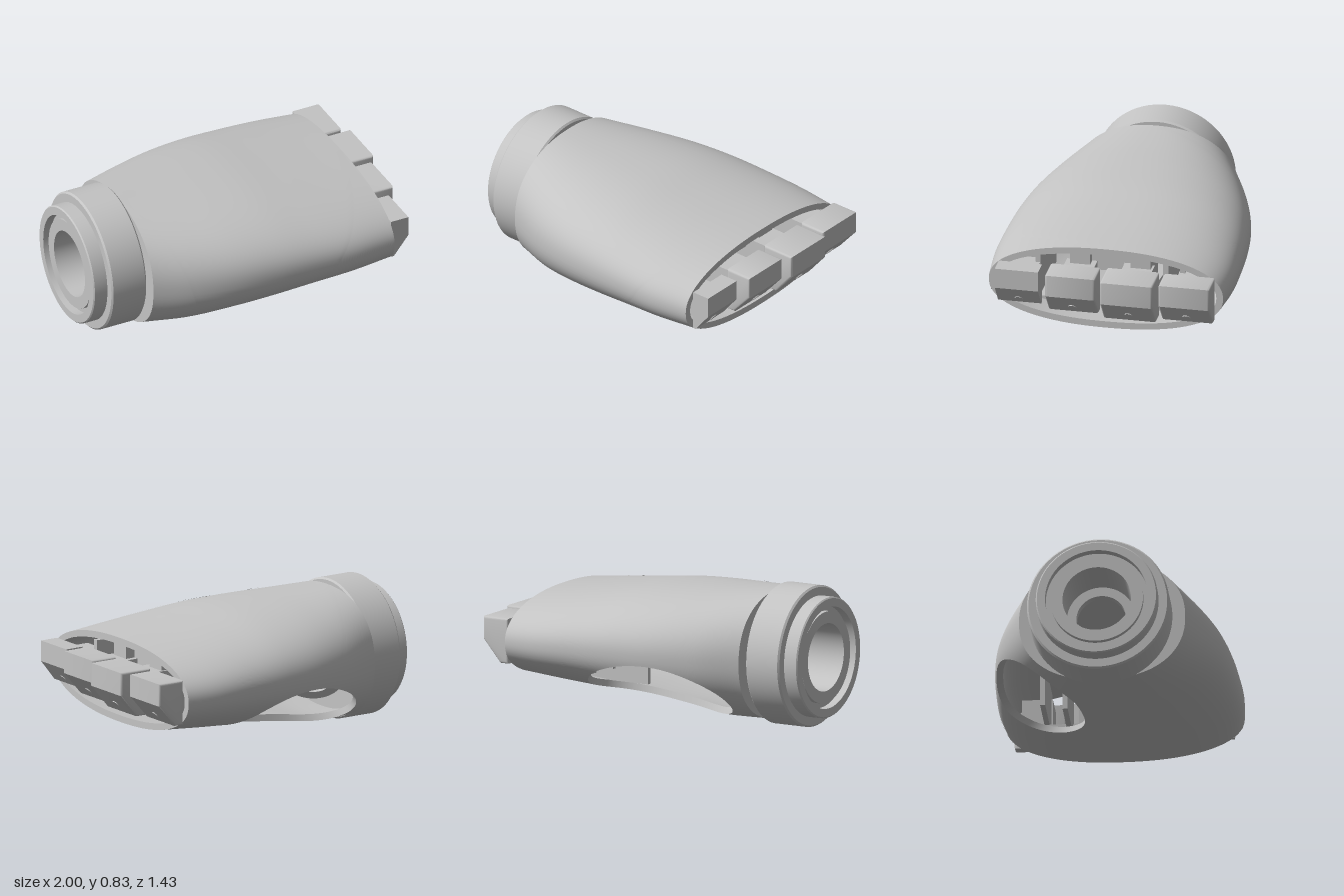
import * as THREE from 'three';
import { toCreasedNormals } from 'three/addons/utils/BufferGeometryUtils.js';

const X0 = -0.68, X1 = 0.783, WALL = 0.04, ROUND = 2.25;
// shell half width, top and bottom heights at even steps from wrist to knuckles
const WIDTH = [0.485, 0.588, 0.657, 0.693, 0.71, 0.715, 0.695];
const TOP = [0.8, 0.79, 0.782, 0.768, 0.74, 0.712, 0.688];
const BOTTOM = [0.036, 0.044, 0.078, 0.109, 0.141, 0.164, 0.185];

// smooth interpolation through evenly spaced samples
function sample(list, x) {
  const n = list.length - 1;
  const f = THREE.MathUtils.clamp((x - X0) / (X1 - X0), 0, 1) * n;
  const i = Math.min(Math.floor(f), n - 1), s = f - i;
  const b = list[i], c = list[i + 1];
  const a = i > 0 ? list[i - 1] : 2 * b - c;
  const d = i < n - 1 ? list[i + 2] : 2 * c - b;
  return b + 0.5 * s * (c - a + s * (2 * a - 5 * b + 4 * c - d + s * (3 * (b - c) + d - a)));
}

const midY = (x) => (sample(TOP, x) + sample(BOTTOM, x)) / 2;
const halfH = (x) => (sample(TOP, x) - sample(BOTTOM, x)) / 2;
const power = (v, p) => Math.sign(v) * Math.abs(v) ** p;

// point on the superelliptic shell: t = 0 is underneath, t = +-PI is on top
function shellPoint(x, t, offset = 0) {
  return new THREE.Vector3(x,
    midY(x) - (halfH(x) + offset) * power(Math.cos(t), 2 / ROUND),
    (sample(WIDTH, x) + offset) * power(Math.sin(t), 2 / ROUND));
}

// surface through rows of points
function skin(rows) {
  const pos = [], index = [], n = rows[0].length;
  rows.forEach((row) => row.forEach((p) => pos.push(p.x, p.y, p.z)));
  for (let k = 0; k < rows.length - 1; k++) {
    for (let i = 0; i < n - 1; i++) {
      const a = k * n + i, b = a + n;
      index.push(a, b, b + 1, a, b + 1, a + 1);
    }
  }
  const g = new THREE.BufferGeometry();
  g.setAttribute('position', new THREE.Float32BufferAttribute(pos, 3));
  g.setIndex(index);
  return toCreasedNormals(g, 0.6);
}

export function createModel() {
  const model = new THREE.Group();
  const body = new THREE.MeshStandardMaterial({ color: 0xc4c4c4, side: THREE.DoubleSide });
  body.name = 'body grey';
  const add = (name, geometry, parent = model) => {
    const mesh = new THREE.Mesh(geometry, body);
    mesh.name = name;
    parent.add(mesh);
    return mesh;
  };
  const box = (name, x0, x1, y0, y1, z0, z1) =>
    add(name, new THREE.BoxGeometry(x1 - x0, y1 - y0, z1 - z0))
      .position.set((x0 + x1) / 2, (y0 + y1) / 2, (z0 + z1) / 2);

  // unrolled shell outline, walked around its four sides
  const corners = [[X1, -Math.PI], [X1, Math.PI], [X0, Math.PI], [X0, -Math.PI]];
  const outline = [];
  corners.forEach(([x, t], c) => {
    const [nx, nt] = corners[(c + 1) % 4], steps = c % 2 ? 32 : 112;
    for (let i = 0; i < steps; i++) {
      outline.push([x + (nx - x) * i / steps, t + (nt - t) * i / steps]);
    }
  });
  outline.push(corners[0]);
  // thumb opening: a teardrop from the underside up to the seam at the back
  const opening = outline.map(([x, t]) => {
    const a = Math.atan2((t + 0.85) / 0.57, (x + 0.15) / 0.4);
    const r = 1.07 + 0.3 * Math.max(0, Math.cos(a - 0.72)) ** 6;
    return [-0.15 + 0.4 * r * Math.cos(a), -0.85 + 0.57 * r * Math.sin(a)];
  });
  const layer = (offset) => Array.from({ length: 49 }, (_, k) => outline.map(([x, t], i) => {
    const [hx, ht] = opening[i], s = k / 48;
    return shellPoint(hx + (x - hx) * s, ht + (t - ht) * s, offset);
  }));
  const outer = layer(0), inner = layer(-WALL);
  add('palmShell', skin(outer));
  add('palmLining', skin([...inner].reverse()));
  add('thumbOpeningEdge', skin([inner[0], outer[0]]));
  add('palmShellRims', skin([outer[48], inner[48]]));

  // seam between upper and lower shell halves, interrupted by the thumb opening
  for (const [side, from, to] of [[1, X0, X1], [-1, X0, -0.45], [-1, 0.17, X1]]) {
    const line = (y) => Array.from({ length: 50 }, (_, i) => {
      const x = from + (to - from) * i / 49;
      return shellPoint(x, side * Math.acos(power((midY(x) - y) / halfH(x), ROUND / 2)), 0.003);
    });
    add('shellSeam', skin([line(0.367), line(0.371)]));
  }

  // rounded outline of the back-of-hand panel
  const panelLoop = (inset) => {
    const a = -0.385 + inset, b = 0.53 - inset, c = -0.345 + inset, d = 0.455 - inset, r = 0.11 - inset;
    const s = new THREE.Shape();
    s.moveTo(a + r, c);
    s.lineTo(b - r, c);
    s.absarc(b - r, c + r, r, -Math.PI / 2, 0);
    s.lineTo(b, d - r);
    s.absarc(b - r, d - r, r, 0, Math.PI / 2);
    s.lineTo(a + r, d);
    s.absarc(a + r, d - r, r, Math.PI / 2, Math.PI);
    s.lineTo(a, c + r);
    s.absarc(a + r, c + r, r, Math.PI, Math.PI * 1.5);
    return s.getSpacedPoints(160).map((p) =>
      shellPoint(p.x, Math.PI - Math.asin(power(p.y / sample(WIDTH, p.x), ROUND / 2)), 0.004));
  };
  add('panelOutline', skin([panelLoop(0), panelLoop(0.01)]));

  // wall closing the shell at the wrist
  const wall = new THREE.Shape().absellipse(0, 0, 0.475, 0.37, 0, Math.PI * 2);
  wall.holes.push(new THREE.Path().absarc(0, 0, 0.22, 0, Math.PI * 2));
  const wallGeometry = new THREE.ExtrudeGeometry(wall, { depth: 0.03, bevelEnabled: false, curveSegments: 48 });
  add('wristWall', wallGeometry.rotateY(Math.PI / 2)).position.set(-0.67, 0.418, 0);

  // stepped wrist coupling with a through bore
  const profile = [
    [0.2, -0.98], [0.27, -0.98], [0.27, -0.95], [0.3, -0.95], [0.3, -1], [0.348, -1], [0.355, -0.993],
    [0.355, -0.912], [0.405, -0.912], [0.415, -0.902], [0.415, -0.695], [0.405, -0.685], [0.37, -0.685],
    [0.37, -0.65], [0.145, -0.65], [0.145, -0.7], [0.2, -0.7], [0.2, -0.98],
  ].map(([r, x]) => new THREE.Vector2(r, x));
  const coupling = toCreasedNormals(new THREE.LatheGeometry(profile, 72), 0.5);
  add('wristCoupling', coupling.rotateZ(-Math.PI / 2)).position.set(0, 0.416, -0.003);

  // thumb socket: a tube set inside the opening
  const ring = [[0.11, -0.22], [0.17, -0.22], [0.17, 0], [0.11, 0], [0.11, -0.22]]
    .map(([r, y]) => new THREE.Vector2(r, y));
  const socket = add('thumbSocket', toCreasedNormals(new THREE.LatheGeometry(ring, 40), 0.5));
  socket.position.set(-0.35, 0.34, -0.33);
  socket.quaternion.setFromUnitVectors(new THREE.Vector3(0, 1, 0),
    new THREE.Vector3(0.46, -0.6, -0.65).normalize());

  // inner frame behind the knuckles
  for (const s of [-1, 1]) {
    box('frameUpright', 0.45, 0.66, 0.23, 0.64, s * 0.18 - 0.06, s * 0.18 + 0.06);
    box('frameSide', 0.2, 0.66, 0.3, 0.57, s * 0.43 - 0.015, s * 0.43 + 0.015);
  }
  for (const y of [0.25, 0.6]) box('frameRail', 0.4, 0.6, y - 0.015, y + 0.015, -0.44, 0.44);
  box('frameBridge', 0.5, 0.6, 0.465, 0.6, -0.13, 0.13);
  box('palmRib', 0.05, 0.45, 0.2, 0.62, -0.3, -0.27);

  // knuckle stubs: front end, bottom, top, z range, edge rounding
  const fingers = [
    [0.903, 0.315, 0.558, 0.378, 0.635, 0],
    [0.96, 0.303, 0.57, 0.03, 0.328, 0.014],
    [1, 0.298, 0.574, -0.32, -0.006, 0.014],
    [0.96, 0.303, 0.57, -0.65, -0.345, 0.014],
  ];
  for (const [front, low, high, z0, z1, e] of fingers) {
    const s = new THREE.Shape();
    const heel = front - 0.115 + (e ? 0 : 0.02);
    s.moveTo(0.79 + e, low + e);
    s.lineTo(heel - e * 0.5, low + e);
    s.lineTo(front - e, 0.435 + e * 0.5);
    s.lineTo(front - e, high - e);
    s.lineTo(0.79 + e, high - e);
    s.closePath();
    const g = new THREE.ExtrudeGeometry(s, {
      depth: z1 - z0 - 2 * e, bevelEnabled: e > 0, bevelSize: e, bevelThickness: e, bevelSegments: 3,
    });
    const finger = new THREE.Group();
    finger.name = 'fingerStub';
    model.add(finger);
    add('fingerBlock', toCreasedNormals(g, 0.6), finger).position.z = z0 + e;
    // pin set square into the sloping face
    const mid = (z0 + z1) / 2, rise = 0.435 - low, run = front - heel;
    const pin = add('fingerPin', new THREE.CylinderGeometry(0.024, 0.024, 0.04, 24), finger);
    pin.quaternion.setFromUnitVectors(new THREE.Vector3(0, 1, 0),
      new THREE.Vector3(rise, -run, 0).normalize());
    pin.position.set(heel + run * (0.347 - low) / rise, 0.347, mid);
    pin.translateY(-0.016);
    // tongue reaching into the palm
    box('fingerTongue', 0.6, 0.8, low + 0.05, high - 0.05, mid - 0.09, mid + 0.09);
  }
  return model;
}
